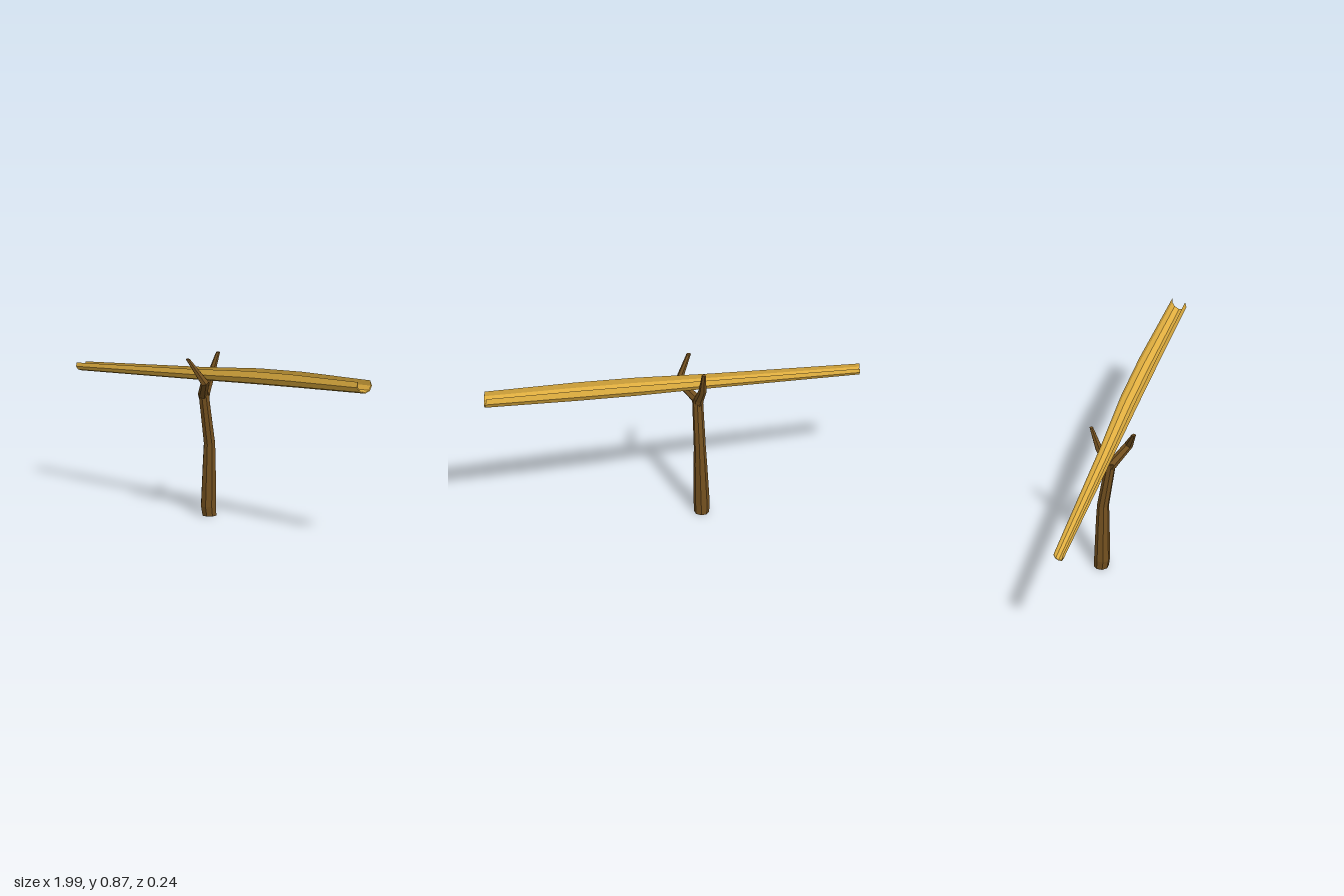
import * as THREE from 'three';

const UP = new THREE.Vector3(0, 1, 0);

// Stitches rings of equal point count into a flat-shaded closed skin with end caps.
function loft(rings, material, name, capped = true) {
  const n = rings[0].length, pos = [], idx = [];
  rings.forEach(r => r.forEach(p => pos.push(p.x, p.y, p.z)));
  for (let i = 0; i < rings.length - 1; i++)
    for (let j = 0; j < n; j++) {
      const a = i * n + j, b = i * n + (j + 1) % n;
      idx.push(a, a + n, b, b, a + n, b + n);
    }
  if (capped) {
    const last = (rings.length - 1) * n;
    for (let j = 1; j < n - 1; j++) idx.push(0, j, j + 1, last, last + j + 1, last + j);
  }
  const indexed = new THREE.BufferGeometry();
  indexed.setAttribute('position', new THREE.Float32BufferAttribute(pos, 3));
  indexed.setIndex(idx);
  const geo = indexed.toNonIndexed();
  geo.computeVertexNormals();
  const mesh = new THREE.Mesh(geo, material);
  mesh.name = name;
  return mesh;
}

// Faceted limb through stations [x, y, z, radius]; both ends are cut level.
function limb(stations, sides, material, name) {
  const pts = stations.map(s => new THREE.Vector3(s[0], s[1], s[2]));
  const rings = pts.map((p, i) => {
    const end = i === 0 || i === pts.length - 1;
    const dir = end ? UP.clone() : pts[i + 1].clone().sub(p).normalize()
      .add(p.clone().sub(pts[i - 1]).normalize()).normalize();
    const q = new THREE.Quaternion().setFromUnitVectors(UP, dir);
    return Array.from({ length: sides }, (_, j) => {
      const a = ((j + 0.5) / sides) * Math.PI * 2;
      const r = stations[i][3];
      return new THREE.Vector3(Math.cos(a) * r, 0, -Math.sin(a) * r).applyQuaternion(q).add(p);
    });
  });
  // ring order runs counter-clockwise seen from above
  rings.forEach(r => r.reverse());
  return loft(rings, material, name);
}

// Trough section: outer arc from rim to rim, then back along the inside; the wall thins to the rims.
function troughRing(x, y, z, r, skew) {
  const ring = [], steps = 6, from = Math.PI * 0.19, sweep = -Math.PI * 1.38;
  const add = (t, radius) => {
    const a = from + sweep * t;
    const dz = Math.cos(a) * radius, dy = Math.sin(a) * radius * 0.93;
    ring.push(new THREE.Vector3(x + skew * dz - 0.1 * dy, y + dy, z + dz));
  };
  for (let i = 0; i <= steps; i++) add(i / steps, r);
  for (let i = steps - 1; i > 0; i--) add(i / steps, r * 0.86);
  return ring;
}

export function createModel() {
  const group = new THREE.Group();
  group.name = 'waterTroughOnForkedBranch';
  const bark = new THREE.MeshStandardMaterial({ color: 0x73501f, flatShading: true, side: THREE.DoubleSide });
  const cane = new THREE.MeshStandardMaterial({ color: 0xe2b040, flatShading: true, side: THREE.DoubleSide });

  // Crooked post
  group.add(limb([
    [-0.143, 0, -0.056, 0.037],
    [-0.145, 0.05, -0.051, 0.04],
    [-0.138, 0.28, -0.05, 0.034],
    [-0.136, 0.37, -0.049, 0.03],
    [-0.138, 0.635, -0.008, 0.027],
  ], 8, bark, 'post'));

  // Fork: front arm kinks outward, back arm leans away
  group.add(limb([
    [-0.138, 0.61, -0.006, 0.025],
    [-0.132, 0.63, 0.002, 0.025],
    [-0.062, 0.708, 0.063, 0.022],
    [-0.133, 0.825, 0.11, 0.011],
  ], 6, bark, 'frontForkArm'));
  group.add(limb([
    [-0.138, 0.6, -0.014, 0.025],
    [-0.14, 0.635, -0.025, 0.024],
    [-0.145, 0.708, -0.066, 0.02],
    [-0.135, 0.825, -0.11, 0.01],
  ], 6, bark, 'backForkArm'));

  // Sloping split-cane trough: [x, back edge z, end skew]
  const rings = [
    [-0.99, -0.047, -0.3], [-0.2, -0.056, 0], [0.2, -0.068, 0],
    [0.5, -0.064, 0], [0.98, -0.041, -0.25],
  ].map(([x, back, skew]) => {
    const front = 0.028 + 0.0175 * x;
    const r = (front - back) / 2;
    return troughRing(x, 0.71 + 0.1 * x + 0.93 * r, (front + back) / 2, r, skew);
  });
  const trough = loft(rings, cane, 'trough', false);
  group.add(trough);

  // Cut ends of the trough wall
  [[rings[0], 'lowerRim', false], [rings[rings.length - 1], 'upperRim', true]].forEach(([r, name, flip]) => {
    const pos = [], n = r.length;
    for (let i = 0; i < 6; i++) {
      const a = r[i], b = r[i + 1], c = r[(n - i) % n], d = r[n - 1 - i];
      const quad = flip ? [a, d, b, a, c, d] : [a, b, d, a, d, c];
      quad.forEach(p => pos.push(p.x, p.y, p.z));
    }
    const geo = new THREE.BufferGeometry();
    geo.setAttribute('position', new THREE.Float32BufferAttribute(pos, 3));
    geo.computeVertexNormals();
    const rim = new THREE.Mesh(geo, cane);
    rim.name = name;
    group.add(rim);
  });
  return group;
}
